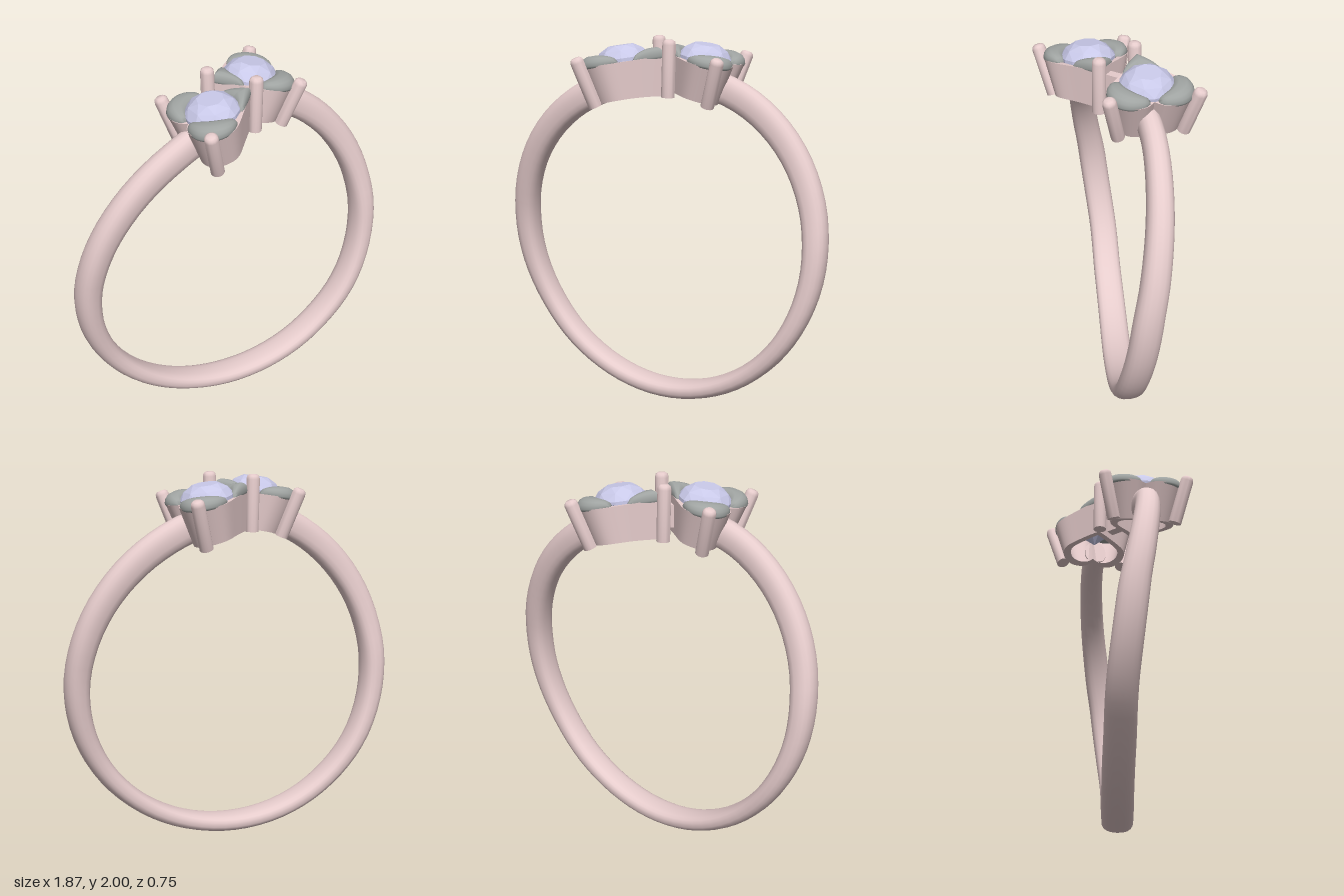
import * as THREE from 'three';
import { toCreasedNormals } from 'three/addons/utils/BufferGeometryUtils.js';
import { ConvexGeometry } from 'three/addons/geometries/ConvexGeometry.js';

const V = (x, y, z) => new THREE.Vector3(x, y, z);
const pink = new THREE.MeshStandardMaterial({ color: 0xe6cccc });
const grey = new THREE.MeshStandardMaterial({ color: 0xa0a4a2 });
const lilac = new THREE.MeshStandardMaterial({ color: 0xc8c8e8, flatShading: true });

const CY = 0.9, RI = 0.805;                 // finger hole centre height and radius
const GX = 0.19, GZ = -0.11;                // gem centre of the first heart
const topY = (x) => 1.91 - 0.15 * x;        // sloping rim of the heart cup
const holeY = (x) => CY + Math.sqrt(RI * RI - x * x);

function mesh(name, geometry, material) {
  const m = new THREE.Mesh(geometry, material);
  m.name = name;
  return m;
}

// Skin closed cross-sections; either join the last to the first or cap the ends.
function loft(sections, joined, crease) {
  const rings = sections.slice();
  const n = rings[0].length;
  if (!joined) {
    const cap = (r) => {
      const c = r.reduce((s, p) => s.add(p), V(0, 0, 0)).divideScalar(n);
      return r.map(() => c.clone());
    };
    rings.unshift(cap(sections[0]));
    rings.push(cap(sections[sections.length - 1]));
  }
  const tris = [];
  let volume = 0;
  const tri = (a, b, c) => {
    if (a.distanceTo(b) < 1e-6 || b.distanceTo(c) < 1e-6 || a.distanceTo(c) < 1e-6) return;
    tris.push([a, b, c]);
    volume += a.dot(b.clone().cross(c));
  };
  const count = joined ? rings.length : rings.length - 1;
  for (let i = 0; i < count; i++) {
    const r = rings[i], s = rings[(i + 1) % rings.length];
    for (let j = 0; j < n; j++) {
      const k = (j + 1) % n;
      tri(r[j], s[j], s[k]);
      tri(r[j], s[k], r[k]);
    }
  }
  // Keep every skin facing outward
  const points = tris.flatMap(([a, b, c]) => (volume > 0 ? [a, b, c] : [a, c, b]));
  return toCreasedNormals(new THREE.BufferGeometry().setFromPoints(points), crease);
}

// Twisting band, open under the two hearts
function band() {
  const sway = new THREE.SplineCurve([
    [0, 0], [22, 0.045], [40, 0.07], [62, 0.085], [90, 0.05], [107, 0.005], [130, -0.055], [150, -0.09], [163, -0.09],
  ].map(([a, z]) => new THREE.Vector2(a, z)));
  const samples = sway.getPoints(160);
  const zAt = (deg) => {
    const i = Math.max(1, samples.findIndex((p) => p.x >= deg));
    const a = samples[i - 1], b = samples[i];
    return a.y + (b.y - a.y) * (deg - a.x) / (b.x - a.x);
  };
  const sections = [];
  for (let i = -36; i <= 36; i++) {
    const deg = i * 4.5, t = THREE.MathUtils.degToRad(deg);
    const ro = -0.035 * Math.cos(t) + Math.sqrt(0.935 ** 2 - (0.035 * Math.sin(t)) ** 2);
    const mid = (ro + RI) / 2, h = (ro - RI) / 2;
    const z0 = Math.sign(deg) * zAt(Math.abs(deg));
    const a = Math.abs(deg);
    const w = 0.085 - 0.006 * Math.min(a / 60, 1) - 0.019 * Math.max(0, (a - 90) / 72);
    const ring = [];
    for (let j = 0; j < 18; j++) {
      const p = (j / 18) * Math.PI * 2, c = Math.cos(p), s = Math.sin(p);
      const r = mid + h * Math.sign(c) * Math.abs(c) ** (c < 0 ? 0.65 : 0.9);
      ring.push(V(r * Math.sin(t), CY - r * Math.cos(t), z0 + w * Math.sign(s) * Math.abs(s) ** 0.85));
    }
    sections.push(ring);
  }
  return mesh('band', loft(sections, false, 0.9), pink);
}

// Heart outline around the gem: t = 0 at the notch, +-1 at the tip
const half = new THREE.SplineCurve([
  [0.14, 0], [0.18, 0.055], [0.175, 0.14], [0.125, 0.2], [0.05, 0.22], [-0.02, 0.195], [-0.12, 0.105], [-0.23, 0],
].map(([x, z]) => new THREE.Vector2(x, z)));
function outline(t) {
  if (t > 1) t -= 2;
  const p = half.getPointAt(Math.min(1, Math.abs(t)));
  if (t < 0) p.y = -p.y;
  return p;
}

// Hollow heart cup, narrower below and trimmed to the finger hole
function cup() {
  const sections = [];
  const at = (p, k, low) => {
    let x = GX + p.x * k, z = GZ + p.y * k;
    if (!low) return V(x, topY(x), z);
    x = -0.02 + (x + 0.02) * 0.78;
    z = GZ + (z - GZ) * 0.8;
    return V(x, holeY(x), z);
  };
  for (let i = 0; i < 64; i++) {
    const p = outline(-1 + i / 32);
    sections.push([at(p, 1, false), at(p, 1, true), at(p, 0.77, true), at(p, 0.82, false)]);
  }
  return mesh('heartCup', loft(sections, true, 0.6), pink);
}

// Rounded rim cap between the heart outline and the gem
function rimCap(name, t0, t1) {
  const sections = [], steps = 20;
  for (let i = 0; i <= steps; i++) {
    const f = i / steps, p = outline(t0 + (t1 - t0) * f);
    const swell = Math.max(0.12, Math.sin(Math.PI * f) ** 0.4);
    const ro = p.length() * 1.02, ri = Math.min(0.118, ro - 0.03);
    const mid = (ro + ri) / 2, w = ((ro - ri) / 2) * (0.45 + 0.55 * swell);
    const d = p.clone().normalize();
    const ring = [];
    for (let j = 0; j < 14; j++) {
      const a = (j / 14) * Math.PI * 2, s = Math.sin(a), c = Math.cos(a);
      const r = mid + w * Math.sign(c) * Math.abs(c) ** 0.7;
      const x = GX + d.x * r, z = GZ + d.y * r;
      ring.push(V(x, topY(x) + swell * s * (s > 0 ? 0.05 : 0.025), z));
    }
    sections.push(ring);
  }
  return mesh(name, loft(sections, false, 0.8), grey);
}

// Faceted round stone with alternating facet rings
function gem() {
  const pts = [V(0, -0.16, 0)];
  const ring = (n, r, y, turn) => {
    for (let i = 0; i < n; i++) {
      const a = ((i + turn) / n) * Math.PI * 2;
      pts.push(V(r * Math.cos(a), y, r * Math.sin(a)));
    }
  };
  ring(8, 0.085, -0.07, 0.5);
  ring(16, 0.142, -0.005, 0);
  ring(16, 0.142, 0.012, 0);
  ring(8, 0.115, 0.05, 0.5);
  ring(8, 0.07, 0.077, 0);
  const m = mesh('gem', new ConvexGeometry(pts), lilac);
  m.position.set(GX, topY(GX) + 0.005, GZ);
  m.rotation.z = -0.15;
  return m;
}

// Round-headed prong from foot to head
function prong(name, foot, head) {
  const axis = head.clone().sub(foot), len = axis.length(), r = 0.036;
  const profile = [[0, 0], [r, 0], [r, len - 0.025], [r * 0.9, len - 0.01], [r * 0.6, len - 0.001], [0, len]];
  const lathe = new THREE.LatheGeometry(profile.map(([x, y]) => new THREE.Vector2(x, y)), 14);
  const m = mesh(name, toCreasedNormals(lathe, 0.9), pink);
  m.position.copy(foot);
  m.quaternion.setFromUnitVectors(V(0, 1, 0), axis.normalize());
  return m;
}

function heartSetting(name) {
  const g = new THREE.Group();
  g.name = name;
  g.add(
    cup(), gem(),
    rimCap('backLobeCap', -0.62, -0.05), rimCap('frontLobeCap', 0.05, 0.62), rimCap('tipCap', 0.77, 1.23),
    prong('tipProng', V(-0.068, 1.7, GZ), V(-0.076, 2, GZ)),
    prong('backLobeProng', V(0.27, 1.655, GZ - 0.17), V(0.35, 1.91, GZ - 0.235)),
    prong('frontLobeProng', V(0.27, 1.655, GZ + 0.17), V(0.35, 1.91, GZ + 0.235)),
  );
  return g;
}

export function createModel() {
  const model = new THREE.Group();
  model.name = 'ring';
  const first = heartSetting('leftHeart');
  const second = heartSetting('rightHeart');
  second.rotation.y = Math.PI;
  // Small bar joining the two cups
  const bridge = mesh('bridge', new THREE.BoxGeometry(0.14, 0.12, 0.05), pink);
  bridge.position.y = 1.8;
  bridge.rotation.y = Math.PI / 4;
  model.add(band(), first, second, bridge);
  return model;
}
